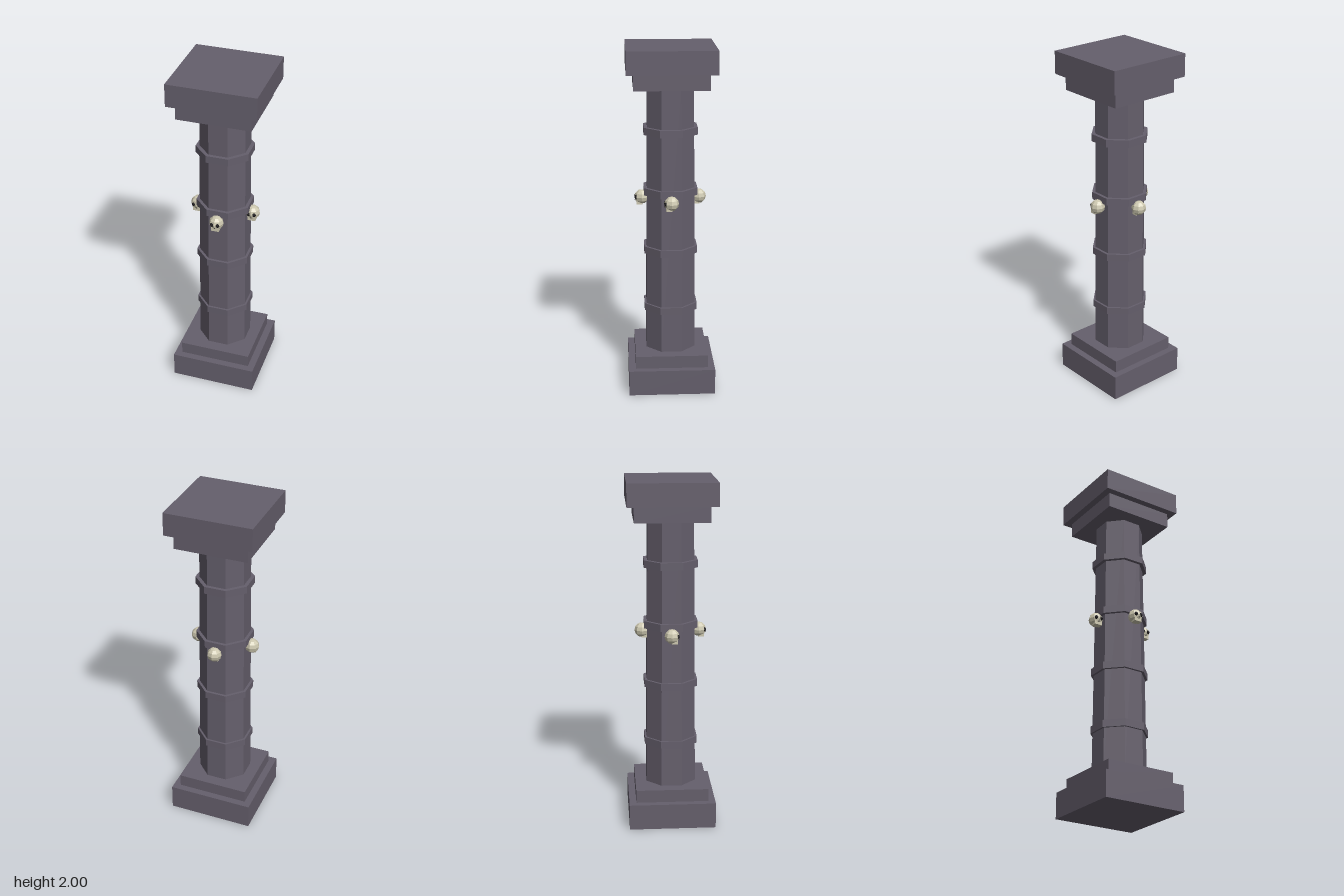
import * as THREE from 'three';

export function createModel() {
  const column = new THREE.Group();
  column.name = 'column';

  const flat = (name, color) => {
    const m = new THREE.MeshStandardMaterial({ color, flatShading: true });
    m.name = name;
    return m;
  };
  const stone = flat('stone', 0x655f6c);
  const bone = flat('bone', 0xcdc8b0);
  const socket = flat('socket', 0x1c1a1c);

  const add = (parent, name, geometry, material, x, y, z) => {
    const mesh = new THREE.Mesh(geometry, material);
    mesh.name = name;
    mesh.position.set(x, y, z);
    parent.add(mesh);
    return mesh;
  };

  // Square slabs of the base and the capital
  const slab = (name, width, y0, y1) =>
    add(column, name, new THREE.BoxGeometry(width, y1 - y0, width), stone, 0, (y0 + y1) / 2, 0);
  slab('plinth', 0.5, 0, 0.15);
  slab('baseStep', 0.42, 0.15, 0.224);
  slab('capitalStep', 0.42, 1.78, 1.87);
  slab('capitalSlab', 0.5, 1.87, 2);

  // Octagonal parts, sized by the distance from the axis to a flat side
  const octagon = (name, topFlat, bottomFlat, y0, y1) => {
    const k = 1 / Math.cos(Math.PI / 8);
    const geo = new THREE.CylinderGeometry(topFlat * k, bottomFlat * k, y1 - y0, 8);
    geo.rotateY(Math.PI / 8);
    add(column, name, geo, stone, 0, (y0 + y1) / 2, 0);
  };
  octagon('shaft', 0.13, 0.143, 0.224, 1.78);
  [0.48, 0.83, 1.178, 1.528].forEach((y, i) =>
    octagon('ring' + (i + 1), 0.152, 0.152, y - 0.021, y + 0.021));

  // Four small skulls round the shaft, all looking to the front
  const cranium = new THREE.SphereGeometry(0.042, 8, 6);
  const jaw = new THREE.BoxGeometry(0.046, 0.024, 0.034);
  const eye = new THREE.SphereGeometry(0.012, 6, 4);
  const nose = new THREE.ConeGeometry(0.005, 0.01, 3);
  [['front', 0, 1], ['left', 1, 0], ['back', 0, -1], ['right', -1, 0]].forEach(([side, sx, sz]) => {
    const skull = new THREE.Group();
    skull.name = side + 'Skull';
    skull.position.set(sx * 0.164, 1.134, sz * 0.164);
    add(skull, 'cranium', cranium, bone, 0, 0, 0);
    add(skull, 'jaw', jaw, bone, 0, -0.029, 0.014);
    for (const s of [-1, 1]) add(skull, 'eyeSocket', eye, socket, s * 0.016, 0.001, 0.032);
    add(skull, 'noseHole', nose, socket, 0, -0.014, 0.037);
    column.add(skull);
  });

  return column;
}
